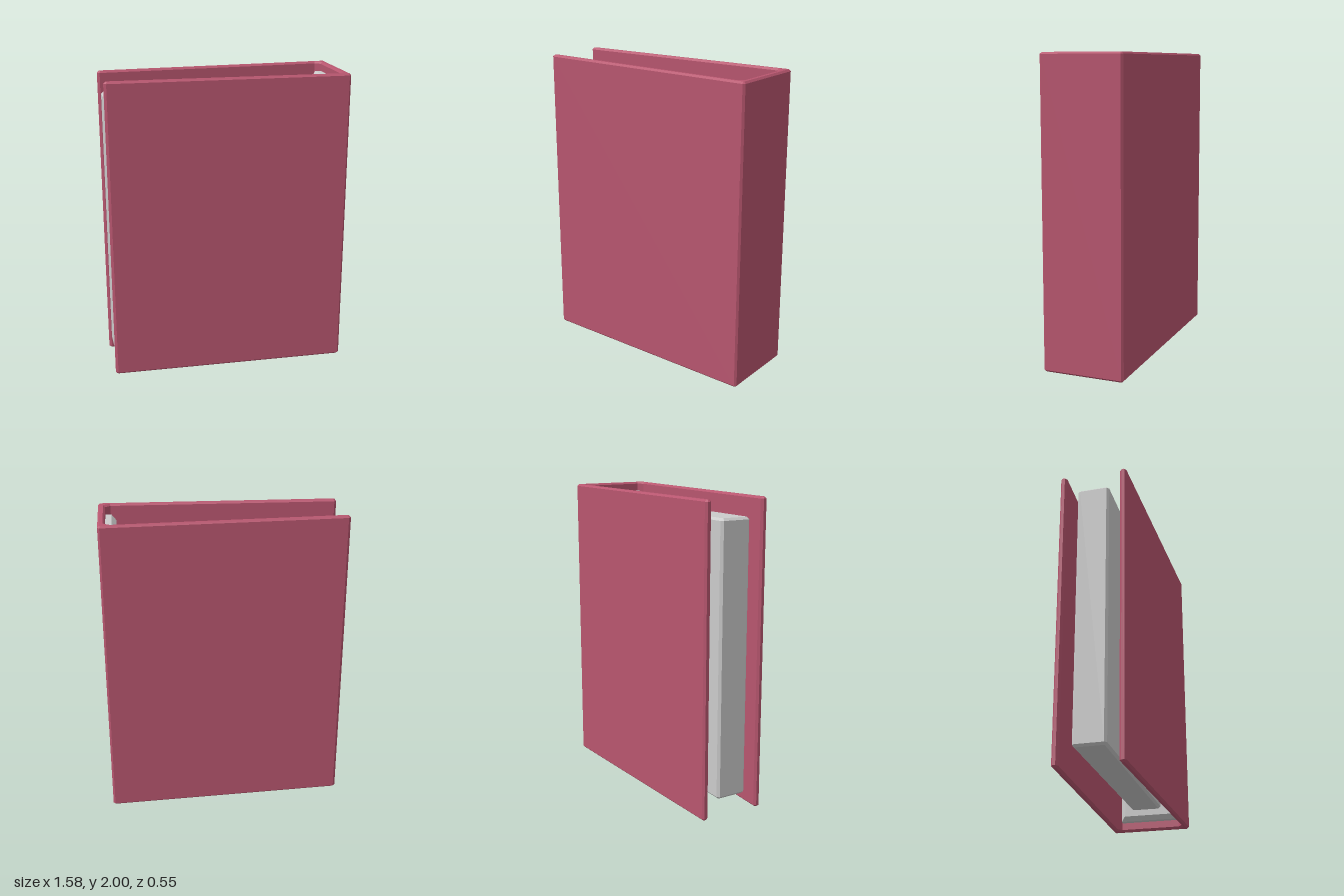
import * as THREE from 'three';

const HEIGHT = 2;

// Extrusion with chamfered ends that stays inside the given outline
function chamferedExtrude(points, length, chamfer) {
  const shape = new THREE.Shape(points.map(([x, y]) => new THREE.Vector2(x, y)));
  const geometry = new THREE.ExtrudeGeometry(shape, {
    depth: length - 2 * chamfer,
    bevelEnabled: true,
    bevelSize: chamfer,
    bevelThickness: chamfer,
    bevelOffset: -chamfer,
    bevelSegments: 1,
  });
  return geometry.translate(0, 0, chamfer);
}

// Rectangle outline with cut corners
function cutRectangle(x0, x1, y0, y1, c) {
  return [
    [x0 + c, y0], [x1 - c, y0], [x1, y0 + c], [x1, y1 - c],
    [x1 - c, y1], [x0 + c, y1], [x0, y1 - c], [x0, y0 + c],
  ];
}

export function createModel() {
  const group = new THREE.Group();
  const coverMaterial = new THREE.MeshStandardMaterial({ color: 0xb8566f, flatShading: true });
  const greyFlat = new THREE.MeshStandardMaterial({ color: 0xcccccc, flatShading: true });
  const greySmooth = new THREE.MeshStandardMaterial({ color: 0xcccccc });

  function add(name, geometry, material) {
    const mesh = new THREE.Mesh(geometry, material);
    mesh.name = name;
    group.add(mesh);
    return mesh;
  }

  // Cover: spine and two boards that close in towards the open edge
  const half = [
    [0.745, 0.205], [0.71, 0.233], [-0.775, 0.18], [-0.79, 0.193],
    [-0.79, 0.212], [-0.775, 0.223], [0.777, 0.274], [0.79, 0.262],
  ];
  const mirrored = half.map(([x, z]) => [x, -z]).reverse();
  const cover = chamferedExtrude([...half, ...mirrored].reverse(), HEIGHT, 0.012);
  add('cover', cover.rotateX(-Math.PI / 2), coverMaterial);

  // Block of pages
  const pages = chamferedExtrude(cutRectangle(-0.78, 0.63, -0.105, 0.105, 0.015), 1.77, 0.015);
  add('pages', pages.rotateX(-Math.PI / 2).translate(0, 0.115, 0), greyFlat);

  // Ring plate: its rear chamfer sinks into the spine
  const plateOutline = [[-0.2, 0.06], [0.2, 0.06], [0.2, 1.94], [-0.2, 1.94]];
  const plate = chamferedExtrude(plateOutline, 0.1, 0.03);
  add('ringPlate', plate.rotateY(-Math.PI / 2).translate(0.775, 0, 0), greyFlat);

  // Half rings running from the plate through the pages
  for (const y of [0.4, 1, 1.6]) {
    const ring = new THREE.TorusGeometry(0.135, 0.014, 10, 24, Math.PI);
    ring.rotateZ(Math.PI / 2).rotateX(Math.PI / 2);
    add('ring', ring, greySmooth).position.set(0.685, y, 0);
  }

  return group;
}
